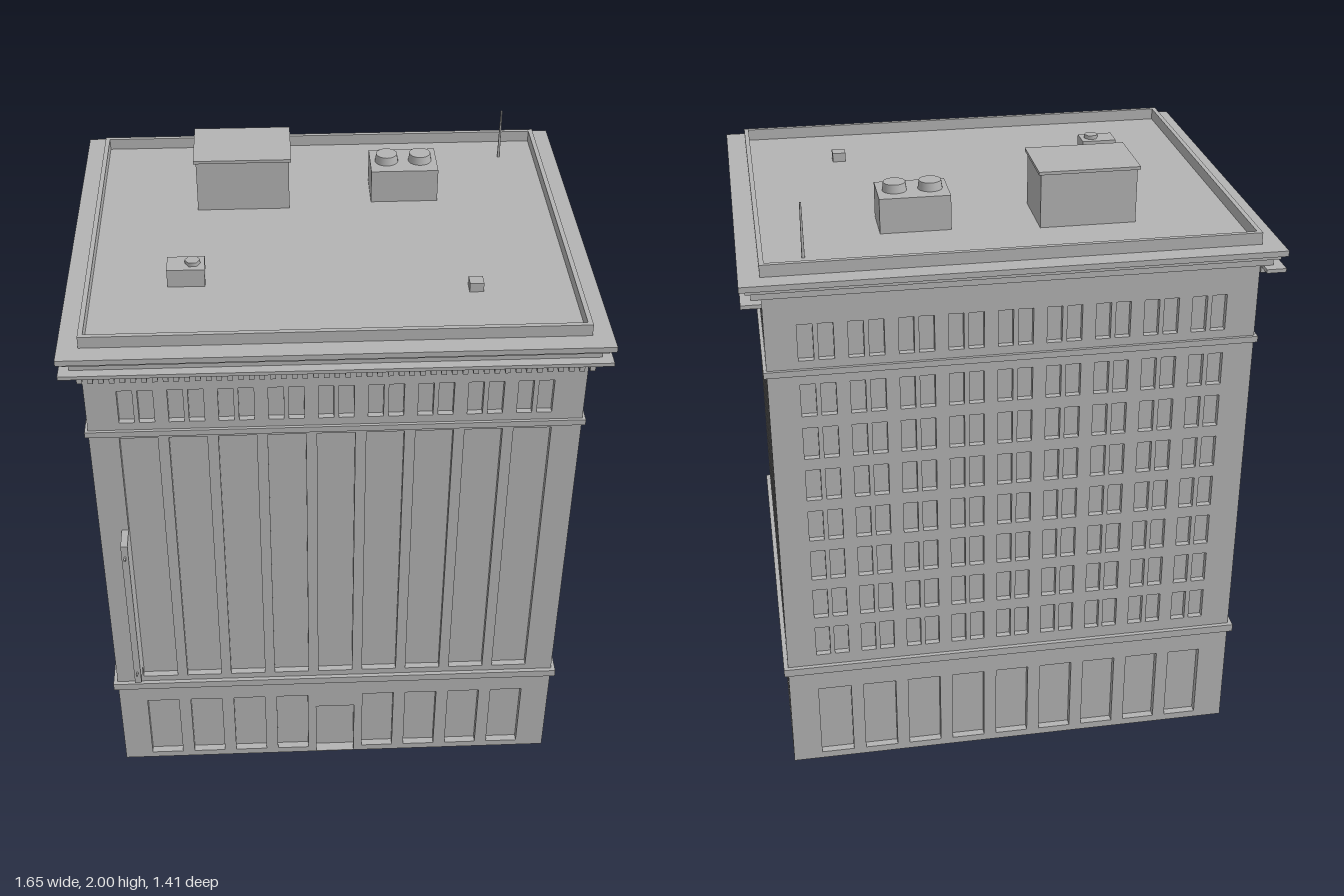
import * as THREE from 'three';
import { mergeGeometries } from 'three/addons/utils/BufferGeometryUtils.js';

const stone = new THREE.MeshStandardMaterial({ color: 0xb4b4b4, side: THREE.DoubleSide });
stone.name = 'grey stone';

const HX = 0.76, HZ = 0.627, ZC = -0.016; // half width, half depth, centre of depth
const WALL_TOP = 1.815;

function add(parent, name, geometry) {
  const mesh = new THREE.Mesh(geometry, stone);
  mesh.name = name;
  parent.add(mesh);
  return mesh;
}

// Box given by its lower and upper corners
function span(x0, x1, y0, y1, z0, z1) {
  return new THREE.BoxGeometry(x1 - x0, y1 - y0, z1 - z0)
    .translate((x0 + x1) / 2, (y0 + y1) / 2, (z0 + z1) / 2);
}

function rectPath(path, x0, x1, y0, y1) {
  path.moveTo(x0, y0);
  path.lineTo(x1, y0);
  path.lineTo(x1, y1);
  path.lineTo(x0, y1);
  path.closePath();
  return path;
}

// Rectangular frame around the building; out and inn are offsets from the wall plane
function ring(y0, y1, out, inn = 0) {
  const shape = rectPath(new THREE.Shape(), -HX - out, HX + out, -HZ - out, HZ + out);
  shape.holes.push(rectPath(new THREE.Path(), -HX - inn, HX + inn, -HZ - inn, HZ + inn));
  return new THREE.ExtrudeGeometry(shape, { depth: y1 - y0, bevelEnabled: false })
    .rotateX(-Math.PI / 2).translate(0, y0, ZC);
}

// Open-fronted pocket behind an opening in a wall
function pocket({ x, w, y0, y1, d }) {
  const g = span(x - w / 2, x + w / 2, y0, y1, -d, 0);
  const index = Array.from(g.index.array);
  index.splice(24, 6);
  g.setIndex(index);
  g.clearGroups();
  return g;
}

// Thin wall with recessed openings, facing +z
function wall(name, half, openings) {
  const group = new THREE.Group();
  group.name = name;
  const shape = rectPath(new THREE.Shape(), -half, half, 0, WALL_TOP);
  for (const o of openings) {
    shape.holes.push(rectPath(new THREE.Path(), o.x - o.w / 2, o.x + o.w / 2, o.y0, o.y1));
  }
  add(group, name + 'Face', new THREE.ShapeGeometry(shape));
  add(group, name + 'Recesses', mergeGeometries(openings.map(pocket)));
  return group;
}

// Openings of one wall: ground windows, tall panels or window rows, top windows
function facade(count, pitch, { door = false, rows = 0 } = {}) {
  const list = [];
  const pair = (x, y0, y1) => {
    for (const s of [-1, 1]) list.push({ x: x + s * 0.031, w: 0.047, y0, y1, d: 0.02 });
  };
  for (let i = 0; i < count; i++) {
    const x = (i - (count - 1) / 2) * pitch;
    if (door && i === (count - 1) / 2) list.push({ x, w: 0.135, y0: 0.002, y1: 0.24, d: 0.035 });
    else list.push({ x, w: 0.11, y0: 0.025, y1: 0.298, d: 0.025 });
    if (rows) {
      const step = 1.055 / rows;
      for (let r = 0; r < rows; r++) {
        const y = 0.42 + (r + 0.5) * step;
        pair(x, y - 0.055, y + 0.055);
      }
    } else list.push({ x, w: 0.118, y0: 0.423, y1: 1.475, d: 0.022 });
    pair(x, 1.535, 1.655);
  }
  return list;
}

// Ledge with a row of dentils below it, facing +z
function dentils(half) {
  const parts = [span(-half - 0.062, half + 0.062, 1.745, 1.757, 0, 0.062)];
  const n = Math.round((half * 2) / 0.032);
  for (let i = 0; i <= n; i++) {
    const x = -half + (i * 2 * half) / n;
    parts.push(span(x - 0.008, x + 0.008, 1.725, 1.745, 0, 0.055));
  }
  return mergeGeometries(parts);
}

export function createModel() {
  const model = new THREE.Group();
  model.name = 'officeBuilding';

  // Four walls, with dentils on all but the back
  const sides = [
    ['front', HX, HZ, 0, facade(9, 0.152, { door: true })],
    ['left', HZ, HX, 1, facade(8, 0.137)],
    ['back', HX, HZ, 2, facade(9, 0.152, { rows: 7 })],
    ['right', HZ, HX, 3, facade(8, 0.137)],
  ];
  for (const [side, half, dist, turn, openings] of sides) {
    const face = new THREE.Group();
    face.name = side + 'Side';
    const panel = wall(side + 'Wall', half, openings);
    panel.position.z = dist;
    face.add(panel);
    if (side !== 'back') add(face, side + 'Dentils', dentils(half)).position.z = dist;
    face.rotation.y = (turn * Math.PI) / 2;
    face.position.z = ZC;
    model.add(face);
  }

  // Belt courses, cornice and parapet
  add(model, 'lowerBelt', ring(0.373, 0.4, 0.014));
  add(model, 'upperBelt', ring(1.488, 1.508, 0.01));
  add(model, 'corniceBase', ring(1.757, 1.782, 0.03));
  add(model, 'corniceMiddle', ring(1.782, 1.797, 0.047));
  add(model, 'corniceTop', ring(1.797, WALL_TOP, 0.064));
  add(model, 'parapet', ring(WALL_TOP, 1.853, 0, -0.015));
  add(model, 'roofDeck', new THREE.PlaneGeometry(HX * 2, HZ * 2)
    .rotateX(-Math.PI / 2).translate(0, WALL_TOP, ZC));

  // Stair house
  add(model, 'stairHouse', span(-0.425, -0.12, WALL_TOP, 1.99, -0.4, -0.183));
  add(model, 'stairHouseCap', span(-0.433, -0.112, 1.99, 2, -0.408, -0.175));

  // Cooling unit with two fans
  add(model, 'coolingUnit', span(0.155, 0.378, WALL_TOP, 1.928, -0.368, -0.213));
  for (const x of [0.21, 0.322]) {
    add(model, 'coolingFan', new THREE.CylinderGeometry(0.035, 0.039, 0.027, 20))
      .position.set(x, 1.9415, -0.29);
  }

  // Small vent box, hatch and mast
  add(model, 'ventBox', span(-0.51, -0.393, WALL_TOP, 1.875, 0.21, 0.29));
  add(model, 'ventCap', new THREE.CylinderGeometry(0.024, 0.024, 0.013, 6).rotateY(Math.PI / 6))
    .position.set(-0.43, 1.8815, 0.25);
  add(model, 'roofHatch', span(0.423, 0.467, WALL_TOP, 1.845, 0.315, 0.358));
  add(model, 'mast', new THREE.CylinderGeometry(0.003, 0.005, 0.175, 8))
    .position.set(0.625, 1.9025, -0.515);

  // Blade sign with its two rods
  add(model, 'bladeSign', span(-0.689, -0.667, 0.477, 1.102, 0.611, 0.692));
  for (const y of [0.527, 1.055]) {
    add(model, 'signRod', span(-0.681, -0.675, y - 0.003, y + 0.003, 0.6, 0.708));
  }
  return model;
}
